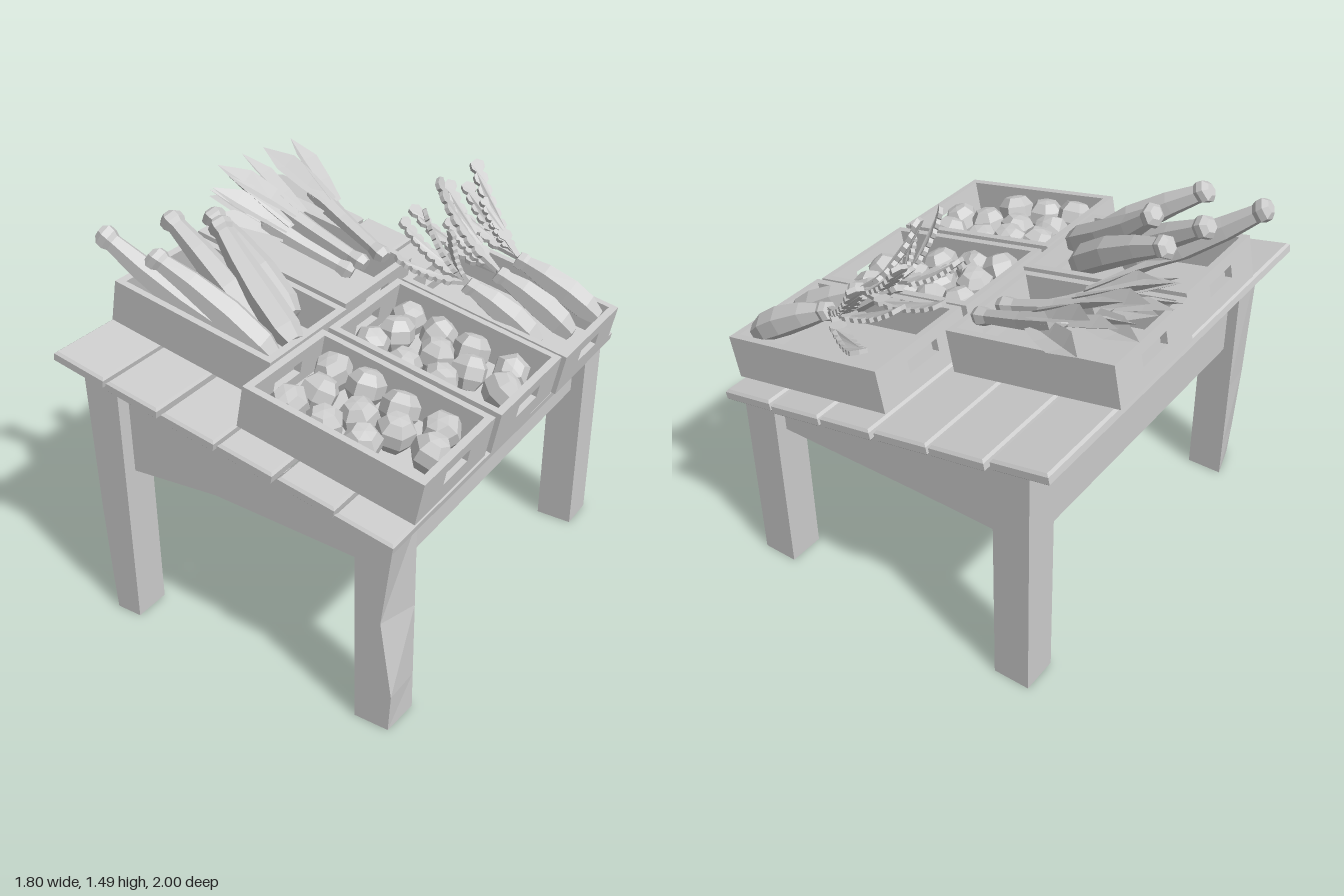
import * as THREE from 'three';

const grey = new THREE.MeshStandardMaterial({ color: 0xcccccc, flatShading: true });
const thin = new THREE.MeshStandardMaterial({ color: 0xcccccc, flatShading: true, side: THREE.DoubleSide });

const YAW = 0.3, SLOPE = 0.193, TOP = 0.945, THICK = 0.045;

// small seeded jitter in -a..a
let seed = 7;
const jitter = (a) => {
  seed = (seed * 16807) % 2147483647;
  return (seed / 2147483647 * 2 - 1) * a;
};

function add(parent, name, geometry, x = 0, y = 0, z = 0, material = grey) {
  const mesh = new THREE.Mesh(geometry, material);
  mesh.name = name;
  mesh.position.set(x, y, z);
  parent.add(mesh);
  return mesh;
}

function group(parent, name) {
  const g = new THREE.Group();
  g.name = name;
  parent.add(g);
  return g;
}

// move every vertex by a rule
function warp(geometry, rule) {
  const p = geometry.attributes.position, v = new THREE.Vector3();
  for (let i = 0; i < p.count; i++) {
    rule(v.fromBufferAttribute(p, i));
    p.setXYZ(i, v.x, v.y, v.z);
  }
  geometry.computeVertexNormals();
  return geometry;
}

const polygon = (pts) => new THREE.Shape(pts.map(([x, y]) => new THREE.Vector2(x, y)));

function extrude(shape, depth, bevel = 0) {
  return new THREE.ExtrudeGeometry(shape, {
    depth, bevelEnabled: bevel > 0, bevelSize: bevel, bevelThickness: bevel,
    bevelOffset: -bevel, bevelSegments: 1,
  });
}

// group at a whose y axis points to b and whose z axis faces upwards
function aim(parent, name, a, b) {
  const g = group(parent, name);
  const y = b.clone().sub(a).normalize();
  const x = new THREE.Vector3().crossVectors(y, new THREE.Vector3(0, 1, 0)).normalize();
  const z = new THREE.Vector3().crossVectors(x, y);
  g.quaternion.setFromRotationMatrix(new THREE.Matrix4().makeBasis(x, y, z));
  g.position.copy(a);
  return g;
}

// six-sided vegetable body: profile of [radius, fraction], gently bent
function body(profile, length, bend) {
  const pts = profile.map(([r, t]) => new THREE.Vector2(r, t * length));
  return warp(new THREE.LatheGeometry(pts, 6), (v) => {
    const t = v.y / length;
    v.z += bend * 4 * t * (1 - t);
  });
}

// ---- table ----
function buildTable(table, top) {
  // six bevelled planks
  for (let i = 0; i < 6; i++) {
    const w = 0.222, l = 1.66 + jitter(0.012), bevel = 0.009;
    const outline = polygon([[-w / 2, -l / 2], [w / 2, -l / 2], [w / 2, l / 2], [-w / 2, l / 2]]);
    const geo = extrude(outline, THICK - 2 * bevel, bevel).translate(0, 0, bevel).rotateX(-Math.PI / 2);
    const plank = add(top, 'plank', geo, (i - 2.5) * 0.236, -THICK, jitter(0.008));
    plank.rotation.set(0, jitter(0.006), jitter(0.012));
  }

  const under = (u) => TOP - THICK - Math.tan(SLOPE) * u;

  // legs; the outer corners of the front pair are worn by a different amount at each height
  const legs = [
    [-0.51, -0.69, [0, 0, 0, 0]], [0.603, -0.687, [0, 0, 0, 0]],
    [-0.515, 0.73, [0.04, 0.03, 0.015, 0]], [0.592, 0.733, [0.01, 0, 0.045, 0]],
  ];
  for (const [u, w, wear] of legs) {
    const h = under(u) + 0.01;
    const rows = [0, 0.15, 0.45, h];
    const geo = warp(new THREE.BoxGeometry(0.144, h, 0.144, 1, 3, 1), (v) => {
      const row = Math.round((v.y / h + 0.5) * 3);
      v.y = rows[row];
      if (v.x * u > 0 && v.z * w > 0) v.x -= Math.sign(u) * wear[row];
    });
    add(table, 'leg', geo, u, 0, w);
  }

  // sloped aprons, the front one slightly arched
  for (const [w, arch] of [[-0.71, 0], [0.71, 0.03]]) {
    const apron = polygon([[-0.515, 0.625], [-0.08, 0.63 + arch], [0.595, 0.625],
      [0.595, under(0.595)], [-0.515, under(-0.515)]]);
    add(table, 'longApron', extrude(apron, 0.04), 0, 0, w);
  }
  for (const u of [-0.525, 0.605]) {
    const h = under(u) - 0.625;
    add(table, 'sideApron', new THREE.BoxGeometry(0.04, h, 1.4), u, 0.625 + h / 2, 0.02);
  }
}

// ---- crate with a hand hole in each end ----
function buildCrate(top, x, z, length) {
  const crate = group(top, 'crate');
  crate.position.set(x, 0, z);
  const W = 0.47, H = 0.165, T = 0.028;
  add(crate, 'crateFloor', new THREE.BoxGeometry(length - T, 0.025, W - T), 0, 0.0135, 0);
  for (const s of [-1, 1]) {
    add(crate, 'crateSide', new THREE.BoxGeometry(length - 2 * T, H, T), 0, H / 2, s * (W - T) / 2);
    const end = polygon([[-W / 2, 0], [W / 2, 0], [W / 2, H], [-W / 2, H]]);
    end.holes.push(polygon([[-0.08, 0.07], [-0.08, 0.12], [0.08, 0.12], [0.08, 0.07]]));
    const geo = extrude(end, T).translate(0, 0, -T / 2).rotateY(Math.PI / 2);
    add(crate, 'crateEnd', geo, s * (length - T) / 2, 0, 0);
  }
  return crate;
}

// staggered rows of chunky round vegetables
function fillRound(crate) {
  const rows = [[-0.22, -0.09, 0.05, 0.22], [-0.195, -0.03, 0.11, 0.25], [-0.225, -0.085, 0.06]];
  const profile = [[0, -0.066], [0.044, -0.06], [0.07, -0.02], [0.069, 0.026], [0.042, 0.06], [0, 0.066]];
  const geo = new THREE.LatheGeometry(profile.map(([r, y]) => new THREE.Vector2(r, y)), 6);
  rows.forEach((row, j) => row.forEach((x) => {
    const lump = add(crate, 'roundVegetable', geo, x, 0.095 + jitter(0.012), (j - 1) * 0.13 + jitter(0.01));
    lump.rotation.set(jitter(0.5), jitter(3), jitter(0.5));
  }));
}

// long vegetable: flared stalk at a, thick low end at b
function marrow(parent, a, b, bend) {
  const g = aim(parent, 'marrow', b, a);
  add(g, 'marrowBody', body([[0, 0], [0.04, 0.01], [0.06, 0.12], [0.061, 0.4], [0.048, 0.7], [0.036, 0.9],
    [0.045, 0.93], [0.045, 0.97], [0.026, 1], [0, 1]], a.distanceTo(b), bend));
}

// lobed leaf strip that curls upwards towards its tip
function frond(parent, a, b) {
  const g = aim(parent, 'frond', a, b), len = a.distanceTo(b), n = 7, side = [];
  for (let i = 0; i < n; i++) {
    const y0 = len * (0.2 + 0.8 * i / n), step = len * 0.8 / n;
    side.push([0.014, y0], [0.029, y0 + step * 0.3], [0.029, y0 + step * 0.75]);
  }
  const outline = [[0.01, 0], ...side, [0, len], ...side.map(([x, y]) => [-x, y]).reverse(), [-0.01, 0]];
  const geo = warp(extrude(polygon(outline), 0.016), (v) => {
    const t = v.y / len;
    v.z -= 0.08 * len * 4 * t * (1 - t);
  });
  add(g, 'frondLeaf', geo);
}

// slim at the leafy crown, thicker towards the low end
function carrot(parent, crown, tip, frondTips) {
  const g = aim(parent, 'carrot', tip, crown);
  add(g, 'carrotRoot', body([[0, 0], [0.034, 0.02], [0.055, 0.18], [0.06, 0.4], [0.05, 0.7], [0.034, 0.9],
    [0.04, 0.94], [0.036, 1], [0, 1.01]], crown.distanceTo(tip), 0.015));
  for (const t of frondTips) frond(parent, crown, t);
}

// bulb, slim shaft and a star-like fan of folded pointed blades
function leek(parent, a, b) {
  const g = aim(parent, 'leek', a, b), len = a.distanceTo(b);
  add(g, 'leekShaft', body([[0, 0], [0.026, 0], [0.038, 0.04], [0.028, 0.1], [0.034, 0.35], [0.044, 0.6], [0, 0.68]], len, -0.01));
  for (let i = 0; i < 5; i++) {
    const L = len * (0.54 - 0.03 * Math.abs(i - 2));
    const geo = warp(new THREE.PlaneGeometry(2, 1, 2, 3), (v) => {
      const t = v.y + 0.5;
      const width = [0.03, 0.046, 0.052, 0][Math.round(t * 3)];
      v.set(v.x * width, t * L, Math.abs(v.x) * width * 0.5 + 0.02 * t * t);
    });
    const blade = add(g, 'leekBlade', geo, (i - 2) * 0.01, len * 0.46, i % 2 ? 0.015 : -0.015, thin);
    blade.rotation.set(i % 2 ? 0.06 : -0.05, (i - 2) * 0.2, (2 - i) * 0.17);
  }
}

export function createModel() {
  const model = new THREE.Group();
  model.name = 'marketStall';
  const table = group(model, 'table');
  table.rotation.y = YAW;
  const top = group(table, 'slopedTop');
  top.position.y = TOP;
  top.rotation.z = -SLOPE;
  buildTable(table, top);

  // three crates on the low side, two on the high side
  fillRound(buildCrate(top, 0.345, 0.475, 0.7));
  fillRound(buildCrate(top, 0.355, -0.02, 0.7));
  buildCrate(top, 0.37, -0.5, 0.7);
  buildCrate(top, -0.355, 0.305, 0.68);
  buildCrate(top, -0.375, -0.19, 0.68);

  const V = (x, y, z) => new THREE.Vector3(x, y, z);

  // marrows
  marrow(model, V(-0.5, 1.37, 0.27), V(-0.05, 1.1, 0.24), 0.02);
  marrow(model, V(-0.35, 1.41, 0.34), V(0.09, 1.09, 0.34), -0.02);
  marrow(model, V(-0.52, 1.4, 0.44), V(-0.02, 1.06, 0.36), 0.01);
  marrow(model, V(-0.55, 1.4, 0.7), V(-0.1, 1.06, 0.43), -0.02);
  marrow(model, V(-0.31, 1.38, 0.65), V(0.08, 1.05, 0.42), 0.02);

  // leeks
  leek(model, V(-0.15, 1.14, -0.29), V(-0.79, 1.42, -0.23));
  leek(model, V(-0.15, 1.14, -0.19), V(-0.8, 1.4, 0));
  leek(model, V(-0.18, 1.11, -0.15), V(-0.68, 1.38, 0.14));

  // carrots with leafy tops
  carrot(model, V(0.18, 1.14, -0.67), V(0.48, 0.95, -0.82),
    [V(-0.26, 1.27, -0.82), V(-0.15, 1.42, -0.75), V(-0.2, 1.32, -0.62), V(-0.05, 1.3, -0.71)]);
  carrot(model, V(0.22, 1.14, -0.52), V(0.49, 0.94, -0.66),
    [V(-0.1, 1.4, -0.55), V(-0.21, 1.28, -0.47), V(0, 1.48, -0.4), V(0, 1.3, -0.45)]);
  carrot(model, V(0.2, 1.13, -0.38), V(0.45, 0.93, -0.52),
    [V(0.1, 1.43, -0.24), V(0.03, 1.24, -0.17), V(-0.08, 1.32, -0.3), V(0.17, 1.35, -0.31)]);
  return model;
}
